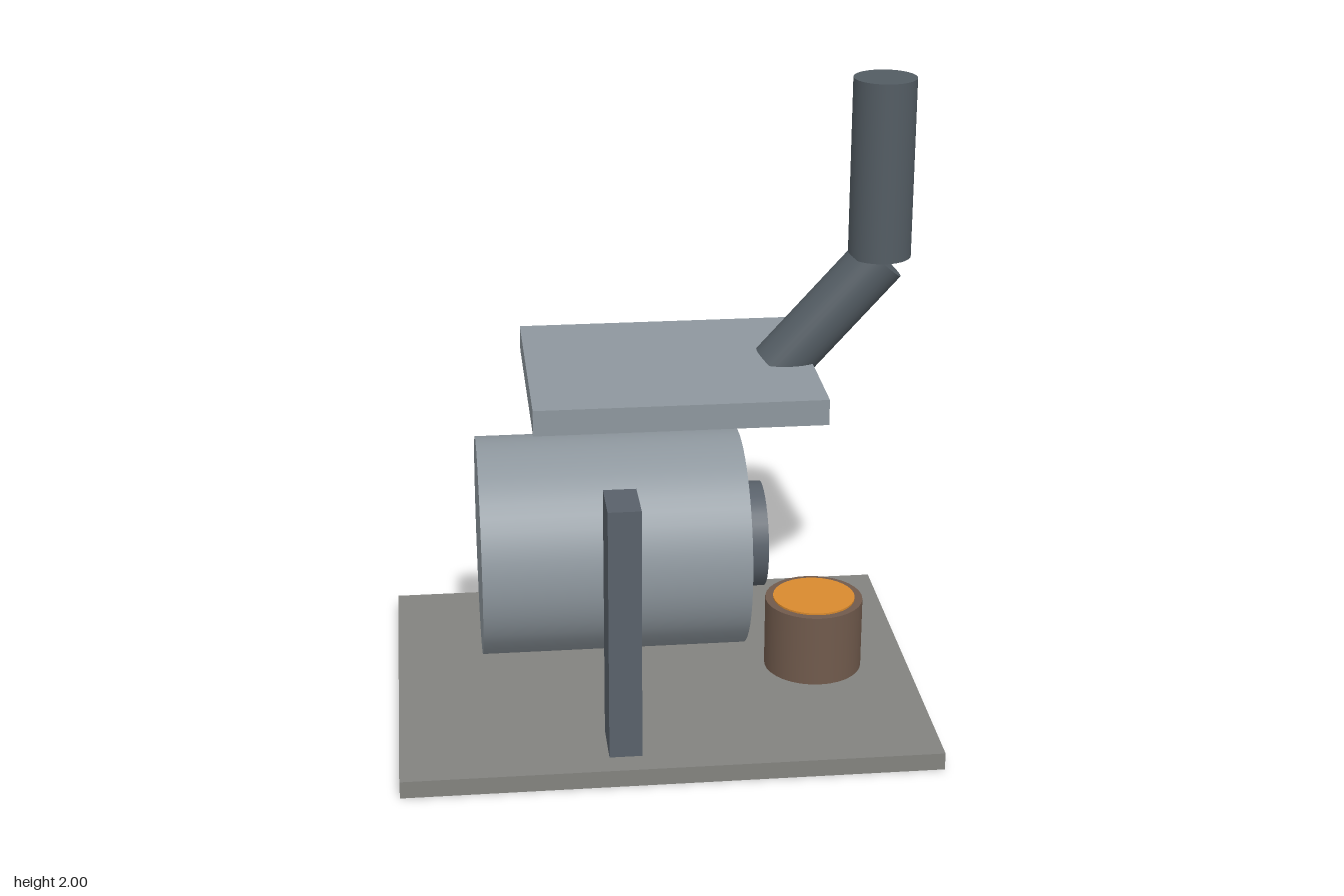
import * as THREE from 'three';

const paint = (color) => new THREE.MeshStandardMaterial({ color });

export function createModel() {
  const group = new THREE.Group();
  const steel = paint(0x8e979e);
  const iron = paint(0x59616a);
  const flue = paint(0x535c63);

  const add = (name, geometry, material, x, y, z, tilt = 0) => {
    const mesh = new THREE.Mesh(geometry, material);
    mesh.name = name;
    mesh.position.set(x, y, z);
    mesh.rotation.z = tilt;
    group.add(mesh);
    return mesh;
  };
  const rod = (radius, length, sides) => new THREE.CylinderGeometry(radius, radius, length, sides);

  // Floor slab
  add('base', new THREE.BoxGeometry(1.65, 0.055, 1.26), paint(0x83837f), 0, 0.0275, 0);

  // Horizontal furnace drum with its mouth on the +x end
  add('drum', rod(0.343, 0.825, 48), steel, -0.143, 0.527, 0, -Math.PI / 2);
  add('mouth', rod(0.167, 0.075, 32), iron, 0.307, 0.527, 0, -Math.PI / 2);

  // Support posts on both sides
  for (const [name, side] of [['leftPost', 1], ['rightPost', -1]].map(([, s]) => [s > 0 ? 'frontPost' : 'backPost', s])) {
    add(name, new THREE.BoxGeometry(0.1, 0.81, 0.166), iron, -0.142, 0.46, side * 0.466);
  }

  // Crucible with molten metal slightly proud of the rim
  add('crucible', rod(0.157, 0.235, 32), paint(0x705a4c), 0.52, 0.1725, 0);
  add('moltenMetal', rod(0.132, 0.02, 32), paint(0xd98a2e), 0.52, 0.286, 0);

  // Hood plate and bent chimney
  add('hood', new THREE.BoxGeometry(0.88, 0.08, 0.746), steel, 0.045, 1.081, 0);
  add('lowerFlue', rod(0.086, 0.468, 32), flue, 0.54, 1.264, 0, -0.735);
  add('upperFlue', rod(0.096, 0.555, 32), flue, 0.694, 1.7225, 0);

  return group;
}
